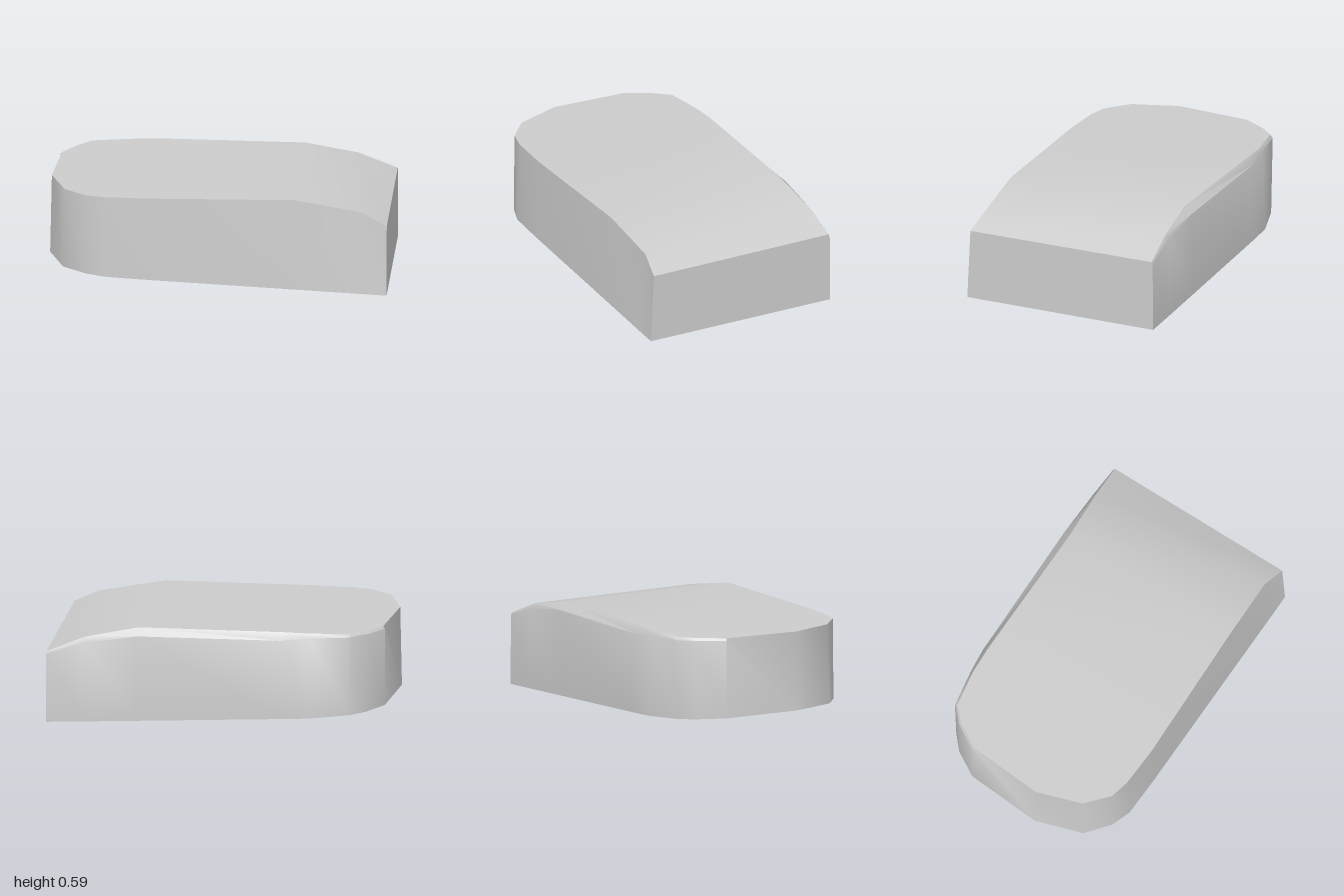
import * as THREE from 'three';
import { toCreasedNormals } from 'three/addons/utils/BufferGeometryUtils.js';

// Sloping underside
const baseY = (x, z) => 0.0575 - 0.05 * x + 0.008 * z;

// Each rib joins a front point to a back point; ribs fan around the rounded end.
// front: x, z at base, z at top, top y
// back:  x, z at base, z under chamfer, z of shoulder, y under chamfer, shoulder y
const ribs = [
  { front: [1, 0.6, 0.58, 0.432], back: [1, -0.6, -0.597, -0.59, 0.41, 0.428] },
  { front: [0.85, 0.6, 0.555, 0.506], back: [0.77, -0.602, -0.597, -0.576, 0.49, 0.522] },
  { front: [0.46, 0.597, 0.568, 0.579], back: [0.46, -0.603, -0.6, -0.555, 0.54, 0.584] },
  { front: [-0.4, 0.592, 0.58, 0.578], back: [-0.4, -0.605, -0.6, -0.57, 0.545, 0.59] },
  { front: [-0.65, 0.585, 0.567, 0.578], back: [-0.56, -0.602, -0.583, -0.565, 0.56, 0.586] },
  { front: [-0.77, 0.542, 0.537, 0.578], back: [-0.79, -0.535, -0.545, -0.53, 0.565, 0.583] },
  { front: [-0.91, 0.43, 0.42, 0.579], back: [-0.875, -0.46, -0.46, -0.45, 0.565, 0.581] },
  { front: [-1, 0.15, 0.15, 0.579], back: [-0.965, -0.31, -0.31, -0.305, 0.565, 0.58] },
];

// Closed section: base front, base back, under chamfer, shoulder, top front
function section({ front: [fx, fzBase, fzTop, fy], back: [bx, bzBase, bzSide, bzTop, sideY, topY] }) {
  const inset = fx <= -0.9 ? 0.01 : 0;
  return [
    [fx, baseY(fx, fzBase), fzBase],
    [bx, baseY(bx, bzBase), bzBase],
    [bx, sideY, bzSide],
    [bx + inset, topY, bzTop],
    [fx + inset, fy, fzTop],
  ];
}

function loft(sections) {
  const n = sections[0].length;
  const index = [];
  for (let i = 0; i < sections.length - 1; i++) {
    for (let j = 0; j < n; j++) {
      const k = (j + 1) % n;
      const a = i * n + j, b = i * n + k, c = a + n, d = b + n;
      index.push(a, c, b, b, c, d);
    }
  }
  // End caps
  const last = (sections.length - 1) * n;
  for (let j = 1; j < n - 1; j++) {
    index.push(0, j, j + 1, last, last + j + 1, last + j);
  }
  const geometry = new THREE.BufferGeometry();
  geometry.setAttribute('position', new THREE.Float32BufferAttribute(sections.flat(2), 3));
  geometry.setIndex(index);
  return toCreasedNormals(geometry, 0.65);
}

export function createModel() {
  const group = new THREE.Group();
  group.name = 'roundedBlock';
  const grey = new THREE.MeshStandardMaterial({ color: 0xcccccc });
  grey.name = 'light grey';
  const body = new THREE.Mesh(loft(ribs.map(section)), grey);
  body.name = 'body';
  group.add(body);
  return group;
}
